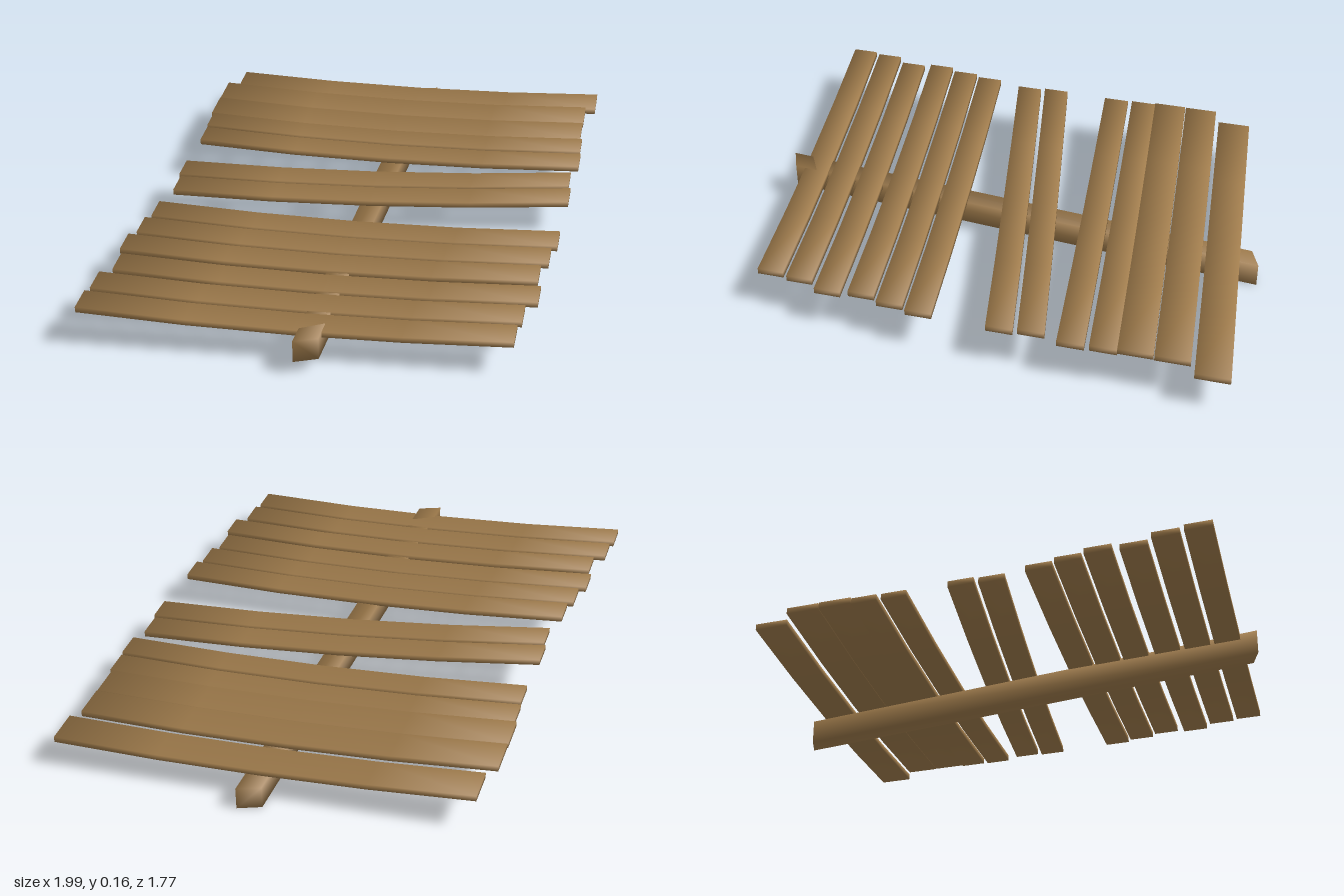
import * as THREE from 'three';

const wood = new THREE.MeshStandardMaterial({ color: 0xa07c4c });
wood.name = 'weathered wood';

// Four-sided timber swept from one end to the other with soft shared normals.
// start, end: [x, z] of one long edge; width: [x, z] across; bottom(t): underside height.
function timber(name, start, end, width, thickness, bottom, segments) {
  const along = new THREE.Vector3(end[0] - start[0], 0, end[1] - start[1]).normalize();
  const across = new THREE.Vector3(width[0], 0, width[1]).normalize();
  const positions = [], normals = [], index = [];
  const corners = [[0, 1], [1, 1], [1, 0], [0, 0]];
  for (let i = 0; i <= segments; i++) {
    const t = i / segments;
    const endPull = i === 0 ? -0.8 : i === segments ? 0.8 : 0;
    for (const [w, h] of corners) {
      positions.push(
        start[0] + (end[0] - start[0]) * t + width[0] * w,
        bottom(t) + thickness * h,
        start[1] + (end[1] - start[1]) * t + width[1] * w);
      const n = new THREE.Vector3(0, h ? 1 : -1, 0)
        .addScaledVector(across, w ? 0.8 : -0.8)
        .addScaledVector(along, endPull)
        .normalize();
      normals.push(n.x, n.y, n.z);
    }
  }
  for (let i = 0; i < segments; i++) {
    for (let k = 0; k < 4; k++) {
      const a = i * 4 + k, b = i * 4 + (k + 1) % 4;
      index.push(a, b, b + 4, a, b + 4, a + 4);
    }
  }
  const e = segments * 4;
  index.push(0, 3, 2, 0, 2, 1, e, e + 1, e + 2, e, e + 2, e + 3);

  const geometry = new THREE.BufferGeometry();
  geometry.setAttribute('position', new THREE.Float32BufferAttribute(positions, 3));
  geometry.setAttribute('normal', new THREE.Float32BufferAttribute(normals, 3));
  geometry.setIndex(index);
  const mesh = new THREE.Mesh(geometry, wood);
  mesh.name = name;
  return mesh;
}

// Sagging underside through left, middle and right heights
const sag = (l, m, r) => t =>
  l * (1 - t) * (1 - 2 * t) + m * 4 * t * (1 - t) + r * t * (2 * t - 1);

export function createModel() {
  const model = new THREE.Group();
  model.name = 'plankWalkway';

  // Back left corner of every plank, from back to front
  const planks = [
    [-0.29, -0.89], [-0.37, -0.785], [-0.415, -0.68], [-0.45, -0.575], [-0.485, -0.48],
    [-0.58, -0.27], [-0.61, -0.175],
    [-0.695, -0.035], [-0.75, 0.05], [-0.81, 0.135], [-0.84, 0.24], [-0.915, 0.325], [-0.965, 0.415],
  ];
  const deck = new THREE.Group();
  deck.name = 'deck';
  planks.forEach(([x, z], i) => {
    const run = i === 5 || i === 6 ? [1.31, 0.288] : [1.285, 0.388];
    const width = i < 3 ? [-0.042, 0.103] : [-0.033, 0.08];
    const curve = i === 0 ? sag(0.122, 0.092, 0.102) : sag(0.143, 0.108, 0.116);
    deck.add(timber('plank' + (i + 1), [x, z], [x + run[0], z + run[1]], width, 0.02, curve, 4));
  });
  model.add(deck);

  // Sloping support beam under the deck
  model.add(timber('supportBeam', [-0.365, 0.745], [0.35, -0.738], [0.08, 0], 0.08,
    t => 0.05 * (1 - t), 1));
  return model;
}
